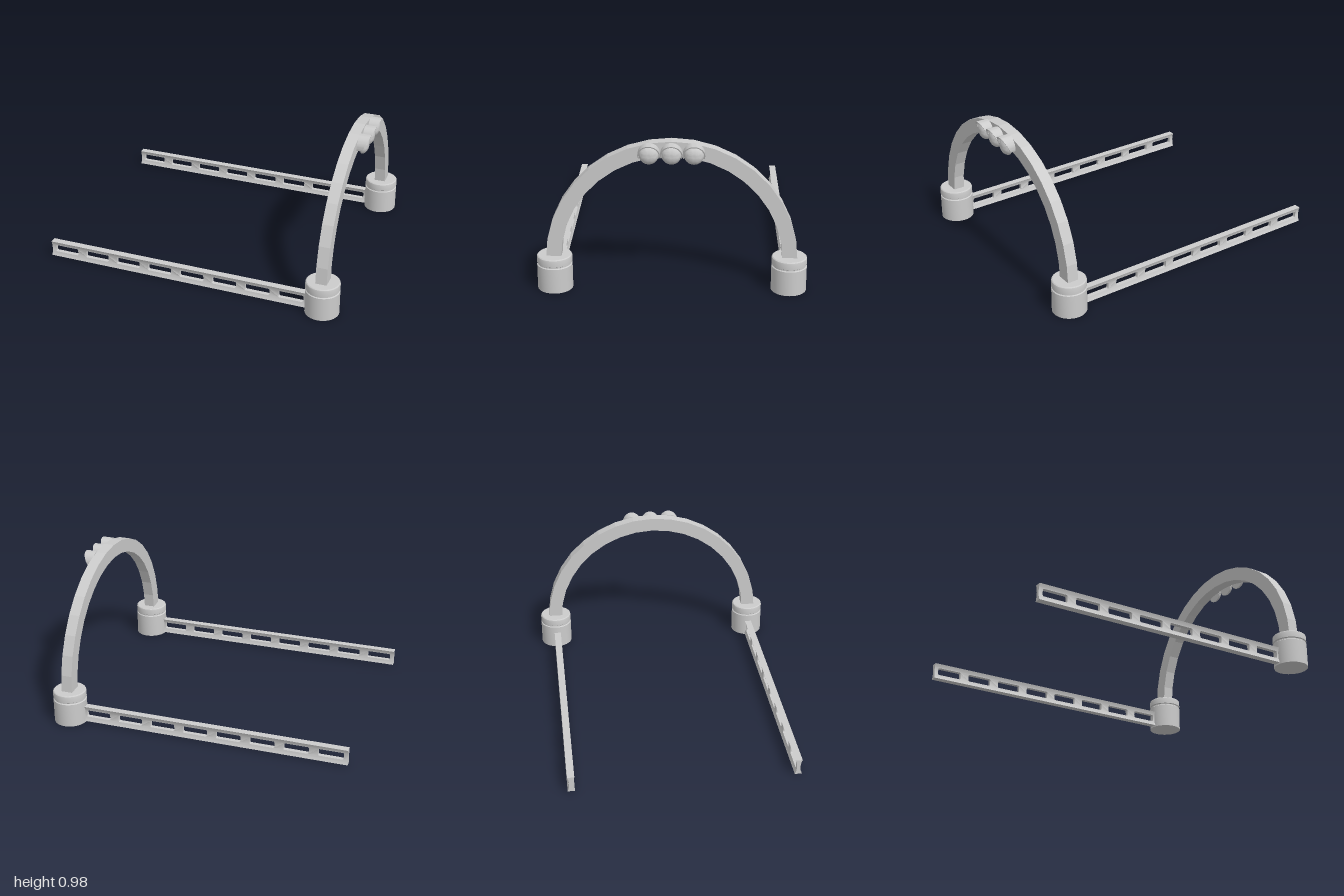
import * as THREE from 'three';
import { mergeGeometries, toCreasedNormals } from 'three/addons/utils/BufferGeometryUtils.js';

const grey = new THREE.MeshStandardMaterial({ color: 0xcccccc });
const V2 = (x, y) => new THREE.Vector2(x, y);

const POST_X = 0.888, POST_Z = 0.727;
const RAIL = { x0: -1, x1: 0.8, y0: 0.01, y1: 0.115, slotY0: 0.04, slotY1: 0.088, z: 0.023 };

function add(parent, name, geometry, x = 0, y = 0, z = 0) {
  const mesh = new THREE.Mesh(geometry, grey);
  mesh.name = name;
  mesh.position.set(x, y, z);
  parent.add(mesh);
  return mesh;
}

// points along an arc, angles in degrees
function arc(radius, from, to, steps, cy = 0) {
  return Array.from({ length: steps + 1 }, (_, i) => {
    const a = THREE.MathUtils.degToRad(from + (to - from) * i / steps);
    return V2(radius * Math.cos(a), cy + radius * Math.sin(a));
  });
}

// arched band in the z-y plane, thickened along +x from 0 to depth
function band(inner, outer, from, to, steps, depth, cy = 0) {
  const pts = [...arc(outer, from, to, steps, cy), ...arc(inner, to, from, steps, cy)];
  return new THREE.ExtrudeGeometry(new THREE.Shape(pts), { depth, bevelEnabled: false, steps: 1 })
    .rotateY(Math.PI / 2);
}

// round base with a groove below its cap
function baseGeometry() {
  const profile = [
    [0, 0], [0.11, 0], [0.11, 0.16], [0.104, 0.165], [0.104, 0.172], [0.11, 0.176],
    [0.11, 0.21], [0.108, 0.218], [0.102, 0.223], [0, 0.223],
  ].map(([x, y]) => V2(x, y));
  return toCreasedNormals(new THREE.LatheGeometry(profile, 36), 0.6);
}

// hollow the sides of a rail piece: half width depends on height
function hollowSides(geo) {
  const p = geo.attributes.position;
  const mid = (RAIL.y0 + RAIL.y1) / 2, half = (RAIL.y1 - RAIL.y0) / 2;
  for (let i = 0; i < p.count; i++) {
    const t = (p.getY(i) - mid) / half;
    p.setZ(i, Math.sign(p.getZ(i)) * (RAIL.z - 0.012 * (1 - t * t)));
  }
  return geo.index ? geo.toNonIndexed() : geo;
}

// rail: two long strips joined by short webs, leaving eight slots
function railGeometry() {
  const { x0, x1, y0, y1, slotY0, slotY1 } = RAIL;
  const parts = [];
  for (const [a, b] of [[y0, slotY0], [slotY1, y1]]) {
    parts.push(hollowSides(new THREE.BoxGeometry(x1 - x0, b - a, 1, 1, 4, 1)
      .translate((x0 + x1) / 2, (a + b) / 2, 0)));
  }
  const first = -0.973, pitch = 0.225, width = 0.165, r = 0.008;
  for (let i = 0; i <= 8; i++) {
    const left = i === 0 ? x0 : first + (i - 1) * pitch + width;
    const right = i === 8 ? x1 : first + i * pitch;
    // web with filleted slot corners
    const s = new THREE.Shape();
    s.moveTo(left - (i > 0 ? r : 0), slotY0);
    s.lineTo(right + (i < 8 ? r : 0), slotY0);
    if (i < 8) s.quadraticCurveTo(right, slotY0, right, slotY0 + r);
    s.lineTo(right, (slotY0 + slotY1) / 2);
    s.lineTo(right, slotY1 - (i < 8 ? r : 0));
    if (i < 8) s.quadraticCurveTo(right, slotY1, right + r, slotY1);
    s.lineTo(left - (i > 0 ? r : 0), slotY1);
    if (i > 0) s.quadraticCurveTo(left, slotY1, left, slotY1 - r);
    s.lineTo(left, (slotY0 + slotY1) / 2);
    if (i > 0) {
      s.lineTo(left, slotY0 + r);
      s.quadraticCurveTo(left, slotY0, left - r, slotY0);
    }
    parts.push(hollowSides(new THREE.ExtrudeGeometry(s, { depth: 1, bevelEnabled: false, curveSegments: 3 })
      .translate(0, 0, -0.5)));
  }
  return toCreasedNormals(mergeGeometries(parts), 0.7);
}

// lamp hood: part of a tube whose front edge is cut back towards the bottom
function hoodGeometry() {
  const geo = band(0.06, 0.067, -18, 198, 28, 0.07);
  const p = geo.attributes.position;
  for (let i = 0; i < p.count; i++) {
    if (p.getX(i) > 0.01) p.setX(i, 0.035 + 0.04 * (p.getY(i) + 0.02) / 0.087);
  }
  return toCreasedNormals(geo, 0.6);
}

// flattened dome with a flat back, bulging towards +x
function lensGeometry() {
  const dome = arc(0.06, 0, 90, 10).map((p) => V2(Math.max(p.x, 0), p.y * 0.67));
  dome[dome.length - 1].x = 0;
  return toCreasedNormals(new THREE.LatheGeometry([V2(0, 0), ...dome], 28), 0.6)
    .rotateZ(-Math.PI / 2);
}

export function createModel() {
  const model = new THREE.Group();
  model.name = 'archWithRails';

  // bases and rails, mirrored front to back
  const base = baseGeometry(), rail = railGeometry();
  for (const [side, s] of [['front', 1], ['back', -1]]) {
    add(model, side + 'Base', base, POST_X, 0, s * POST_Z);
    add(model, side + 'Rail', rail, 0, 0, s * 0.722);
  }

  // faceted arch between the bases
  add(model, 'arch', band(0.682, 0.775, 0, 180, 18, 0.073, 0.2), 0.851, 0, 0);

  // three hooded lamps at the crown
  const hood = hoodGeometry(), lens = lensGeometry();
  [-0.135, 0, 0.135].forEach((z, i) => {
    const lamp = new THREE.Group();
    lamp.name = 'lamp' + (i + 1);
    lamp.position.set(0.922, 0.9, z);
    add(lamp, 'hood', hood);
    add(lamp, 'lens', lens, 0.024, 0, 0);
    model.add(lamp);
  });

  return model;
}
